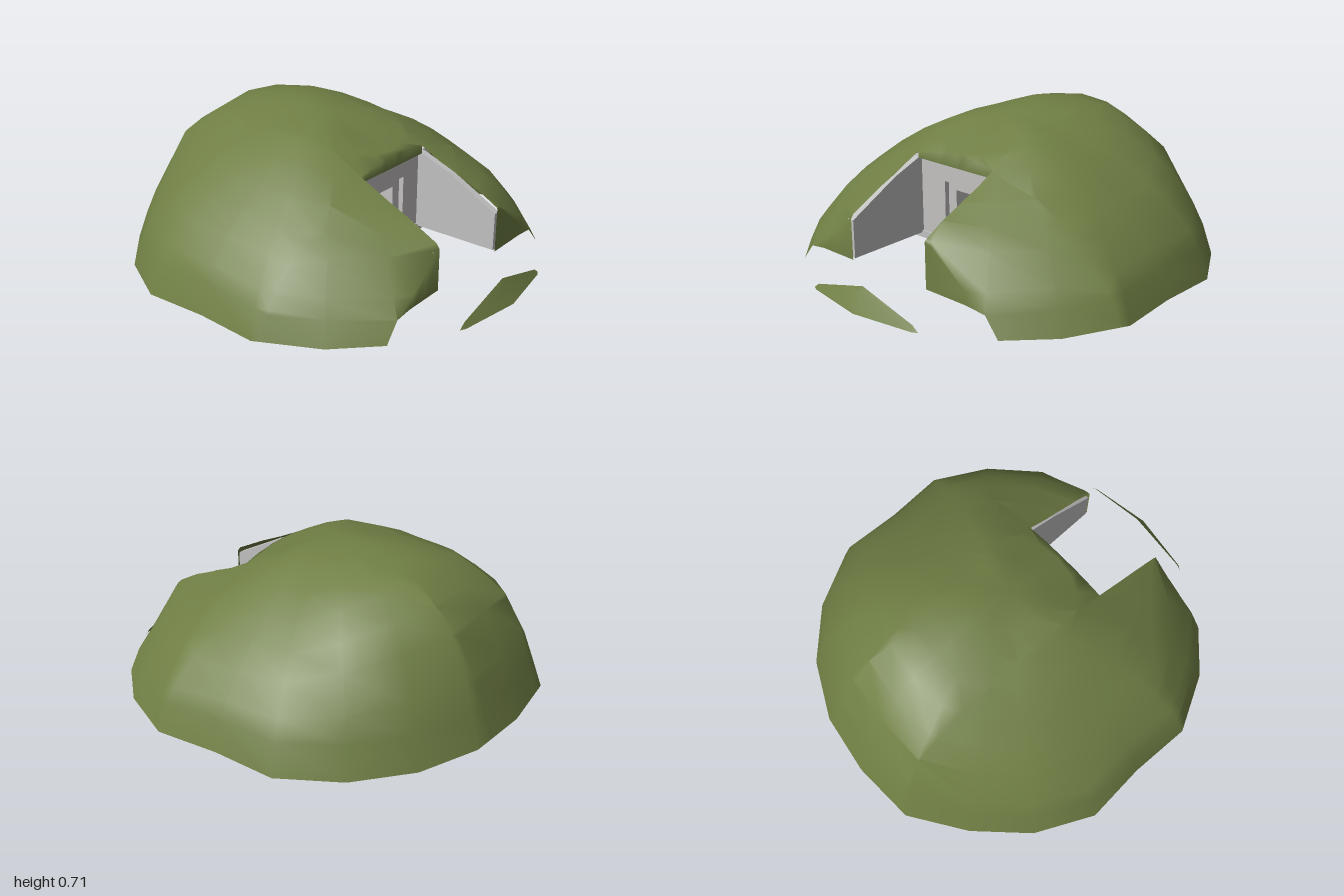
import * as THREE from 'three';
import { mergeVertices } from 'three/addons/utils/BufferGeometryUtils.js';

const SIDES = 20, STEP = (Math.PI * 2) / SIDES;
// Cut-out of the forecourt in plan
const CUT = { left: -0.26, right: 0.215, back: 0.345, front: 0.77, far: 0.937 };

// Slope profiles from summit to rim
const RINGS = [0, 0.18, 0.32, 0.45, 0.58, 0.7, 0.8, 0.9, 0.95, 1];
const BACK = [0.69, 0.705, 0.71, 0.69, 0.67, 0.59, 0.5, 0.3, 0.15, 0];
const SIDE = [0.69, 0.67, 0.63, 0.57, 0.49, 0.4, 0.32, 0.21, 0.14, 0];
const FRONT = [0.69, 0.61, 0.56, 0.49, 0.44, 0.39, 0.335, 0.17, 0.085, 0];

// Slope height at ring i in direction a (0 = front), slightly uneven on the diagonals
function slope(i, a) {
  const c = Math.cos(a), d = Math.sin(2 * a), u = RINGS[i];
  const diagonal = c > 0 ? -0.4 * d * d * u ** 4 * (1 - u) : -0.2 * d * Math.abs(d) * u * u * (1 - u);
  return THREE.MathUtils.lerp(SIDE[i], (c > 0 ? FRONT : BACK)[i], c * c) + diagonal;
}

// Keep the part of a polygon where sign * axis >= sign * limit
function clip(poly, axis, sign, limit) {
  const out = [];
  poly.forEach((p, i) => {
    const q = poly[(i + 1) % poly.length];
    const dp = sign * (p[axis] - limit), dq = sign * (q[axis] - limit);
    if (dp >= 0) out.push(p);
    if (dp * dq < 0) out.push(p.clone().lerp(q, dp / (dp - dq)));
  });
  return out;
}

// Earth shell with the forecourt and the strip before it cut away
function moundGeometry() {
  const point = (k, i) => {
    k = (k + SIDES) % SIDES;
    const a = k * STEP;
    const r = RINGS[i] * (k === 5 || k === 15 ? 0.935 : k === 11 ? 1.037 : 1);
    return new THREE.Vector3(r * Math.sin(a), slope(i, a), r * Math.cos(a));
  };
  // Each region has clip planes and, on its front edge, an upright face down to a level
  const right = ['x', -1, CUT.left], left = ['x', 1, CUT.right];
  const behind = ['z', -1, CUT.back];
  const beside = [['z', 1, CUT.back], ['z', -1, CUT.front]];
  const regions = [
    { planes: [behind, right] },
    { planes: [behind, left] },
    { planes: [behind, ['x', 1, CUT.left], ['x', -1, CUT.right]], wallZ: CUT.back, wallY: 0.488 },
    { planes: [...beside, right], wallZ: CUT.front, wallY: 0.1 },
    { planes: [...beside, left], wallZ: CUT.front, wallY: 0.1 },
    { planes: [['z', 1, CUT.far]] },
  ];
  const verts = [];
  const push = (...pts) => pts.forEach((p) => verts.push(p.x, p.y, p.z));
  const add = (tri) => regions.forEach(({ planes, wallZ, wallY }) => {
    let poly = tri;
    planes.forEach((pl) => { poly = clip(poly, ...pl); });
    for (let i = 2; i < poly.length; i++) push(poly[0], poly[i - 1], poly[i]);
    if (wallZ === undefined) return;
    poly.forEach((p, i) => {
      const q = poly[(i + 1) % poly.length];
      const onWall = Math.abs(p.z - wallZ) < 1e-6 && Math.abs(q.z - wallZ) < 1e-6;
      if (!onWall || Math.max(p.y, q.y) <= wallY) return;
      const [pd, qd] = [p, q].map((v) => v.clone().setY(Math.min(v.y, wallY)));
      push(q, p, pd, q, pd, qd);
    });
  });
  for (let k = 0; k < SIDES; k++) {
    for (let i = 1; i < RINGS.length; i++) {
      const a = point(k, i - 1), b = point(k, i), c = point(k + 1, i);
      add([a, b, c]);
      if (i > 1) add([a, c, point(k + 1, i - 1)]);
    }
  }
  const g = new THREE.BufferGeometry();
  g.setAttribute('position', new THREE.Float32BufferAttribute(verts, 3));
  const merged = mergeVertices(g, 1e-4);
  merged.computeVertexNormals();
  return merged;
}

// Upright slab with a rectangular doorway
function doorSlab(x0, x1, y0, y1, hole, depth) {
  const rect = (P, a, b, c, d) => new P([[a, c], [b, c], [b, d], [a, d]].map((p) => new THREE.Vector2(...p)));
  const s = rect(THREE.Shape, x0, x1, y0, y1);
  s.holes.push(rect(THREE.Path, ...hole));
  return new THREE.ExtrudeGeometry(s, { depth, bevelEnabled: false });
}

export function createModel() {
  const model = new THREE.Group();
  const material = (name, color) => {
    const m = new THREE.MeshStandardMaterial({ color, side: THREE.DoubleSide });
    m.name = name;
    return m;
  };
  const grass = material('grass', 0x6f7e44);
  const stone = material('stone', 0xc0c0c0);
  const paleStone = material('pale stone', 0xc4c0c0);
  const add = (name, geometry, mat) => {
    const m = new THREE.Mesh(geometry, mat);
    m.name = name;
    model.add(m);
    return m;
  };
  const box = (name, x0, x1, y0, y1, z0, z1) =>
    add(name, new THREE.BoxGeometry(x1 - x0, y1 - y0, z1 - z0), stone)
      .position.set((x0 + x1) / 2, (y0 + y1) / 2, (z0 + z1) / 2);

  add('mound', moundGeometry(), grass);

  // Sloping forecourt walls
  for (const [name, xMax] of [['forecourtWallRight', CUT.left + 0.002], ['forecourtWallLeft', CUT.right + 0.033]]) {
    const s = new THREE.Shape([[0.3, 0.105], [0.76, 0.105], [0.76, 0.29], [0.5, 0.43], [0.34, 0.492], [0.3, 0.492]]
      .map((p) => new THREE.Vector2(...p)));
    const g = new THREE.ExtrudeGeometry(s, { depth: 0.035, bevelEnabled: false });
    add(name, g.rotateY(-Math.PI / 2), stone).position.x = xMax;
  }

  // Facade on its sill, with a shallow rebate around the door frame
  box('facadeSill', -0.33, 0.35, 0.08, 0.115, 0.24, 0.335);
  add('facade', doorSlab(-0.31, 0.315, 0.115, 0.492, [-0.105, 0.095, 0.13, 0.4], 0.08), paleStone).position.z = 0.245;
  add('doorFrame', doorSlab(-0.15, 0.14, 0.115, 0.42, [-0.055, 0.045, 0.135, 0.36], 0.095), paleStone).position.z = 0.205;

  // Passage
  box('passageFloor', -0.17, 0.14, 0.1, 0.125, -0.16, 0.25);
  box('passageWallRight', -0.17, -0.11, 0.115, 0.41, -0.16, 0.25);
  box('passageWallLeft', 0.1, 0.14, 0.115, 0.41, -0.16, 0.25);
  box('passageRoof', -0.17, 0.14, 0.41, 0.44, -0.16, 0.25);

  // Round chamber, open toward the passage
  const chamber = [-0.025, -0.41];
  add('chamberFloor', new THREE.CylinderGeometry(0.308, 0.308, 0.015, 9), stone)
    .position.set(chamber[0], 0.118, chamber[1]);
  add('chamberWall', new THREE.CylinderGeometry(0.305, 0.305, 0.32, 24, 1, true, 0.36, Math.PI * 2 - 0.72), stone)
    .position.set(chamber[0], 0.28, chamber[1]);
  const roof = add('chamberRoof', new THREE.SphereGeometry(0.305, 24, 6, 0, Math.PI * 2, 0, Math.PI / 2), stone);
  roof.scale.y = 0.6;
  roof.position.set(chamber[0], 0.44, chamber[1]);

  return model;
}
